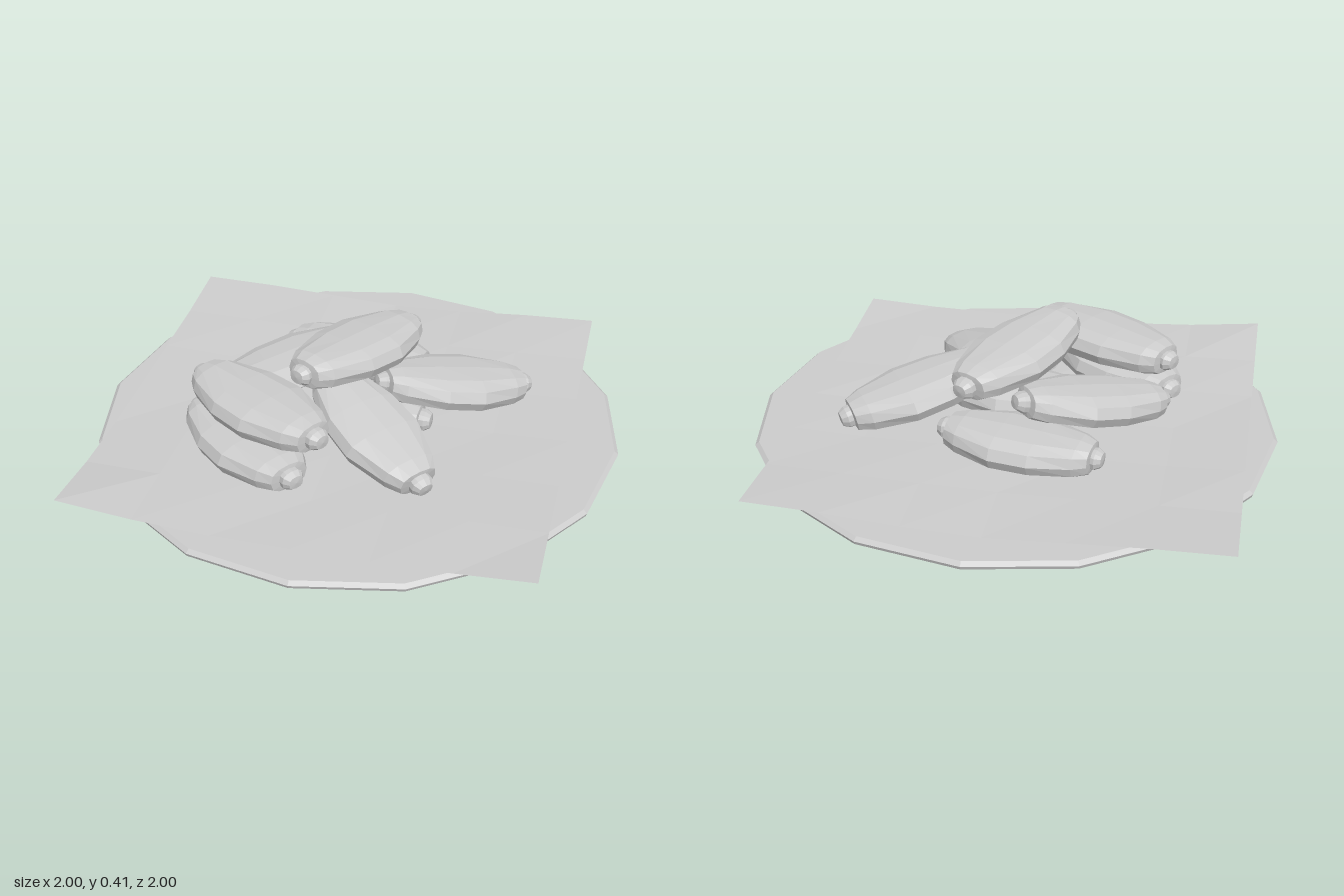
import * as THREE from 'three';

const material = new THREE.MeshStandardMaterial({ color: 0xcccccc, flatShading: true });
const paperMaterial = new THREE.MeshStandardMaterial({ color: 0xcccccc, flatShading: true, side: THREE.DoubleSide });

// Cross-sections of one stuffed roll: [position along length -1..1, half width, half height]
const SECTIONS = [
  [-1, 0, 0], [-0.99, 0.03, 0.025], [-0.92, 0.045, 0.036], [-0.88, 0.042, 0.036],
  [-0.87, 0.075, 0.052], [-0.72, 0.108, 0.062], [-0.25, 0.158, 0.066], [0.2, 0.165, 0.067],
  [0.68, 0.112, 0.062], [0.85, 0.078, 0.052], [0.86, 0.044, 0.038],
  [0.92, 0.045, 0.037], [0.99, 0.03, 0.025], [1, 0, 0],
];
const SIDES = 12;

function rollGeometry(length) {
  const pos = [], idx = [];
  for (const [t, w, h] of SECTIONS) {
    for (let j = 0; j < SIDES; j++) {
      const a = (j / SIDES) * Math.PI * 2, c = Math.cos(a), s = Math.sin(a);
      // slightly squared oval
      pos.push(w * Math.sign(c) * Math.abs(c) ** 0.85, h * Math.sign(s) * Math.abs(s) ** 0.75, t * length / 2);
    }
  }
  for (let i = 0; i < SECTIONS.length - 1; i++) {
    for (let j = 0; j < SIDES; j++) {
      const k = (j + 1) % SIDES;
      const a = i * SIDES + j, b = i * SIDES + k, c = b + SIDES, d = a + SIDES;
      if (i > 0) idx.push(a, b, c);
      else idx.push(a, c, d);
      if (i > 0 && i < SECTIONS.length - 2) idx.push(a, c, d);
    }
  }
  const g = new THREE.BufferGeometry();
  g.setAttribute('position', new THREE.Float32BufferAttribute(pos, 3));
  g.setIndex(idx);
  g.computeVertexNormals();
  return g;
}

// A roll lying between two tips
function makeRoll(name, from, to) {
  const a = new THREE.Vector3(...from), b = new THREE.Vector3(...to);
  const dir = b.clone().sub(a);
  const mesh = new THREE.Mesh(rollGeometry(dir.length()), material);
  dir.normalize();
  const side = new THREE.Vector3(0, 1, 0).cross(dir).normalize();
  const up = dir.clone().cross(side);
  mesh.quaternion.setFromRotationMatrix(new THREE.Matrix4().makeBasis(side, up, dir));
  mesh.position.copy(a.add(b).multiplyScalar(0.5));
  mesh.name = name;
  return mesh;
}

// Square sheet with gentle folds and lifted corners
function makePaper() {
  const g = new THREE.PlaneGeometry(1.7, 1.7, 6, 6).rotateX(-Math.PI / 2);
  const p = g.attributes.position;
  for (let i = 0; i < p.count; i++) {
    const u = p.getX(i) / 0.85, v = p.getZ(i) / 0.85;
    const edge = Math.max(Math.abs(u), Math.abs(v));
    const lift = u < 0 ? (v > 0 ? 0.052 : 0.03) : (v > 0 ? 0.025 : 0.036);
    const fold = 0.5 + 0.5 * Math.sin(u * 5.1 + 1.3) * Math.cos(v * 4.3 + 0.6);
    p.setY(i, 0.043 + 0.018 * fold * edge + lift * (u * v) ** 2);
  }
  g.computeVertexNormals();
  const mesh = new THREE.Mesh(g, paperMaterial);
  mesh.position.x = -0.04;
  mesh.name = 'paper';
  return mesh;
}

export function createModel() {
  const model = new THREE.Group();
  model.name = 'plateOfRolls';

  // Sixteen-sided thin plate
  const profile = [[0, 0], [0.97, 0], [0.995, 0.012], [1, 0.025], [0.985, 0.038], [0, 0.038]]
    .map(([r, y]) => new THREE.Vector2(r, y));
  const plate = new THREE.Mesh(new THREE.LatheGeometry(profile, 16), material);
  plate.name = 'plate';
  model.add(plate, makePaper());

  // Pile of rolls: name, first tip, second tip
  const rolls = [
    ['frontLeftLowerRoll', [-0.60, 0.115, 0.16], [-0.09, 0.11, 0.56]],
    ['frontLeftUpperRoll', [-0.59, 0.25, 0.14], [-0.01, 0.25, 0.49]],
    ['frontRightRoll', [-0.13, 0.26, 0.05], [0.36, 0.09, 0.47]],
    ['middleRoll', [-0.32, 0.11, 0.03], [0.30, 0.11, 0.07]],
    ['backRoll', [-0.39, 0.11, -0.39], [0.24, 0.12, -0.27]],
    ['backLeftRoll', [-0.57, 0.11, 0.11], [-0.04, 0.24, -0.26]],
    ['backRightRoll', [0.08, 0.25, 0.06], [0.62, 0.11, -0.28]],
    ['topRoll', [-0.17, 0.36, 0.27], [0.15, 0.30, -0.33]],
  ];
  for (const r of rolls) model.add(makeRoll(...r));
  return model;
}
